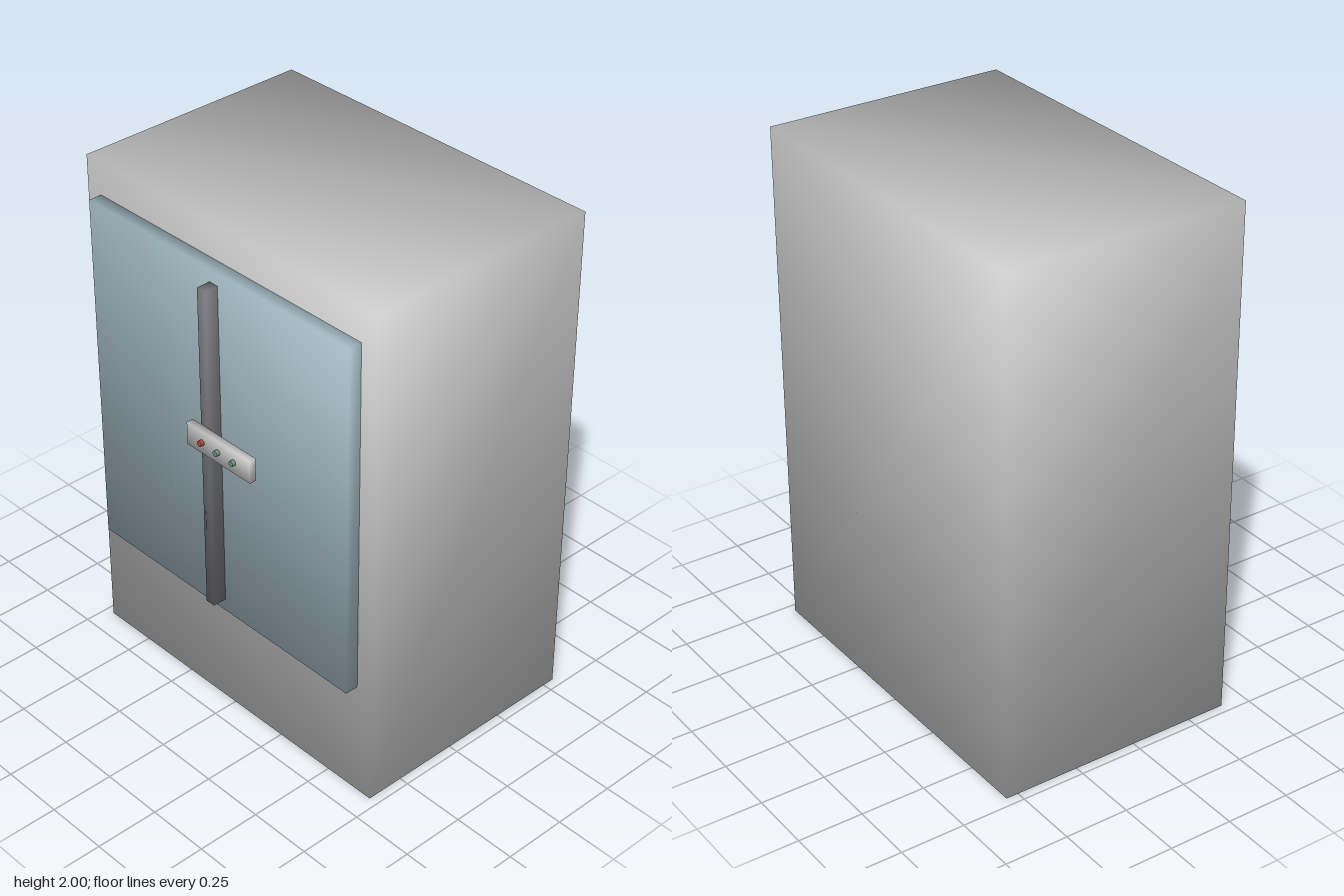
import * as THREE from 'three';
import { mergeVertices } from 'three/addons/utils/BufferGeometryUtils.js';

const material = (color) => new THREE.MeshStandardMaterial({ color });

// Box between two corners, with shared corners and softly blended normals
function softBox(name, min, max, color) {
  const size = max.map((v, i) => v - min[i]);
  let geo = new THREE.BoxGeometry(...size);
  geo.deleteAttribute('normal');
  geo.deleteAttribute('uv');
  geo = mergeVertices(geo);
  const pos = geo.attributes.position;
  const normals = [];
  for (let i = 0; i < pos.count; i++) {
    const n = new THREE.Vector3(Math.sign(pos.getX(i)), Math.sign(pos.getY(i)), Math.sign(pos.getZ(i)));
    normals.push(...n.normalize().toArray());
  }
  geo.setAttribute('normal', new THREE.Float32BufferAttribute(normals, 3));
  const mesh = new THREE.Mesh(geo, material(color));
  mesh.name = name;
  mesh.position.set(...max.map((v, i) => (v + min[i]) / 2));
  return mesh;
}

export function createModel() {
  const group = new THREE.Group();
  group.name = 'cabinet';

  // Main casing, door panel on its front, vertical rail and control plate
  group.add(
    softBox('casing', [-0.713, 0, -0.548], [0.713, 2, 0.401], 0xcccccc),
    softBox('doorPanel', [-0.645, 0.47, 0.401], [0.643, 1.87, 0.453], 0xa2b9c2),
    softBox('verticalRail', [-0.021, 0.52, 0.453], [0.019, 1.82, 0.507], 0x78787e),
    softBox('controlPlate', [-0.065, 1.19, 0.507], [0.255, 1.28, 0.534], 0xcccccc)
  );

  // Row of three buttons, the first one red
  [0xa84a48, 0x6f8f80, 0x6f8f80].forEach((color, i) => {
    const geo = new THREE.CylinderGeometry(0.011, 0.011, 0.018, 16);
    geo.rotateX(Math.PI / 2);
    const button = new THREE.Mesh(geo, material(color));
    button.name = `button${i + 1}`;
    button.position.set(0.014 + i * 0.08, 1.235, 0.539);
    group.add(button);
  });

  return group;
}
